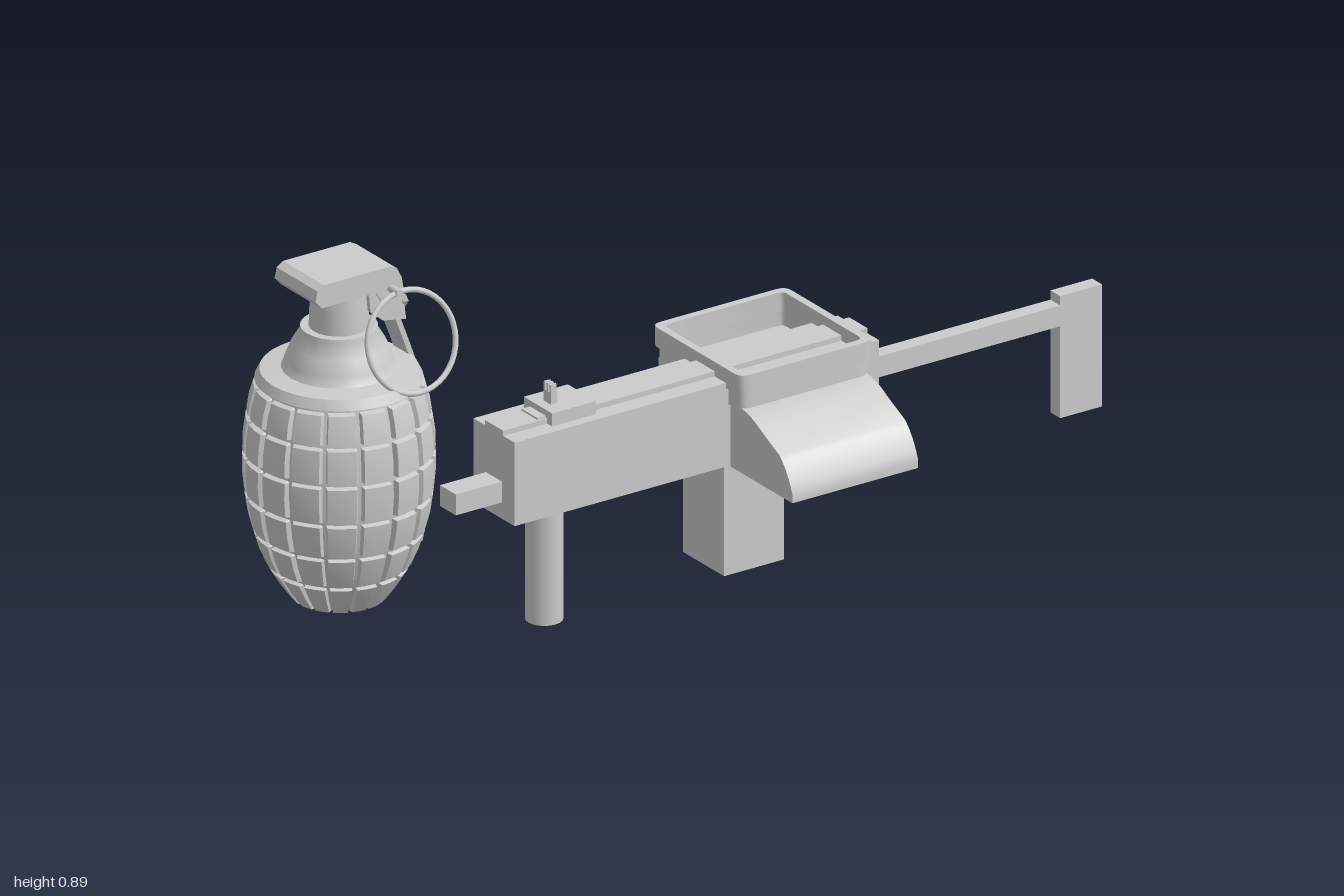
import * as THREE from 'three';
import { toCreasedNormals } from 'three/addons/utils/BufferGeometryUtils.js';

const CZ = -0.047; // shared centre line in z
const smooth = new THREE.MeshStandardMaterial({ color: 0xcccccc });
const flat = new THREE.MeshStandardMaterial({ color: 0xcccccc, flatShading: true });

function add(group, name, geometry, material = flat) {
  const mesh = new THREE.Mesh(geometry, material);
  mesh.name = name;
  group.add(mesh);
  return mesh;
}

// box given by its limits in x and y, and its centre and width in z
function box(group, name, x0, x1, y0, y1, width, z = CZ) {
  const mesh = add(group, name, new THREE.BoxGeometry(x1 - x0, y1 - y0, width));
  mesh.position.set((x0 + x1) / 2, (y0 + y1) / 2, z);
  return mesh;
}

const polygon = pts => new THREE.Shape(pts.map(p => new THREE.Vector2(...p)));

// rounded rectangle outline, drawn on a Shape or Path
function roundRect(path, x0, y0, x1, y1, r) {
  path.moveTo(x0 + r, y0).lineTo(x1 - r, y0).quadraticCurveTo(x1, y0, x1, y0 + r);
  path.lineTo(x1, y1 - r).quadraticCurveTo(x1, y1, x1 - r, y1);
  path.lineTo(x0 + r, y1).quadraticCurveTo(x0, y1, x0, y1 - r);
  path.lineTo(x0, y0 + r).quadraticCurveTo(x0, y0, x0 + r, y0);
  return path;
}

// barrel-shaped shell cut into pads by sunken grooves
function segmentedShell() {
  const profile = [[0.178, 0.095], [0.25, 0.143], [0.325, 0.171], [0.405, 0.187],
    [0.49, 0.191], [0.57, 0.184], [0.64, 0.168]];
  const gap = 0.006, depth = 0.011, columns = 16;
  const points = [new THREE.Vector2(0, 0.178)], sunk = [true];
  const ring = (r, y, low) => { points.push(new THREE.Vector2(r, y)); sunk.push(low); };
  for (let i = 0; i < profile.length - 1; i++) {
    const [y0, r0] = profile[i], [y1, r1] = profile[i + 1];
    const at = y => r0 + (r1 - r0) * (y - y0) / (y1 - y0);
    const a = i ? y0 + gap : y0, b = y1 - gap;
    if (i) ring(at(y0 + gap / 2) - depth, y0 + gap / 2, true);
    ring(at(a), a, false);
    ring(at((a + b) / 2) + 0.002, (a + b) / 2, false);
    ring(at(b), b, false);
    ring(at(y1 - gap / 2) - depth, y1 - gap / 2, true);
  }
  ring(0.157, 0.643, true);
  ring(0.167, 0.645, false);
  ring(0.157, 0.665, true);
  ring(0.1, 0.672, true);
  const geo = new THREE.LatheGeometry(points, columns * 5);
  const steps = [0, 0.1, 0.16, 0.55, 0.94]; // groove, groove, pad, pad, pad
  const pos = geo.attributes.position;
  for (let k = 0; k < pos.count; k++) {
    const seg = Math.floor(k / points.length), row = k % points.length;
    const angle = (Math.floor(seg / 5) + steps[seg % 5]) / columns * Math.PI * 2;
    let r = points[row].x;
    if (!sunk[row] && seg % 5 < 2 && points[row].y < 0.644) r -= depth;
    pos.setXYZ(k, r * Math.sin(angle), points[row].y, r * Math.cos(angle));
  }
  return toCreasedNormals(geo, 0.45);
}

// bent strip through points [x, y, width]
function strip(path, thickness) {
  const n = path.length - 1;
  const geo = new THREE.BoxGeometry(1, 1, 1, 1, n, 1);
  const pos = geo.attributes.position;
  for (let k = 0; k < pos.count; k++) {
    const i = Math.round((0.5 - pos.getY(k)) * n);
    const [x, y, width] = path[i];
    pos.setXYZ(k, x + pos.getX(k) * thickness, y, pos.getZ(k) * width);
  }
  return geo;
}

function createGrenade() {
  const g = new THREE.Group();
  g.name = 'grenade';
  g.position.set(-0.81, 0, CZ);
  add(g, 'segmentedShell', segmentedShell(), smooth);

  // shoulder and neck
  const neck = [[0.125, 0.66], [0.113, 0.672], [0.107, 0.69], [0.095, 0.72], [0.077, 0.75],
    [0.077, 0.758], [0.06, 0.758], [0.057, 0.845], [0, 0.845]];
  add(g, 'neck', toCreasedNormals(new THREE.LatheGeometry(
    neck.map(p => new THREE.Vector2(...p)), 24), 0.6), smooth);

  // cap of the lever with rounded ends
  const cap = new THREE.ExtrudeGeometry(polygon([[-0.105, 0.858], [-0.09, 0.841], [0.04, 0.841],
    [0.06, 0.81], [0.11, 0.81], [0.101, 0.86], [0.09, 0.882], [0.075, 0.89],
    [-0.085, 0.89], [-0.1, 0.88]]), { depth: 0.142, bevelEnabled: false });
  add(g, 'leverCap', cap.translate(0, 0, -0.071));

  // side cheeks holding the pin
  for (const side of [-1, 1]) {
    const cheek = new THREE.ExtrudeGeometry(polygon([[0.025, 0.85], [0.03, 0.8], [0.06, 0.775],
      [0.115, 0.765], [0.108, 0.82], [0.1, 0.85]]), { depth: 0.01, bevelEnabled: false });
    add(g, 'leverCheek', cheek.translate(0, 0, side * 0.061 - 0.005));
  }

  // long curved lever
  add(g, 'lever', strip([[0.105, 0.82, 0.142], [0.112, 0.805, 0.142], [0.12, 0.755, 0.055],
    [0.145, 0.69, 0.053], [0.17, 0.62, 0.053], [0.19, 0.54, 0.053], [0.2, 0.46, 0.053],
    [0.2, 0.38, 0.053], [0.192, 0.32, 0.053], [0.175, 0.255, 0.053]], 0.012));

  // pin and pull ring
  const pin = add(g, 'pin', new THREE.CylinderGeometry(0.008, 0.008, 0.18, 10), smooth);
  pin.rotation.x = Math.PI / 2;
  pin.position.set(0.075, 0.843, 0.012);
  const ring = add(g, 'pullRing', new THREE.TorusGeometry(0.103, 0.006, 8, 40), smooth);
  ring.rotation.x = -0.31;
  ring.position.set(0.088, 0.744, 0.124);
  return g;
}

function createGun() {
  const g = new THREE.Group();
  g.name = 'gun';
  box(g, 'receiver', -0.44, 0.43, 0.255, 0.435, 0.143);
  box(g, 'topRail', -0.44, 0.43, 0.435, 0.446, 0.064);
  box(g, 'muzzle', -0.55, -0.44, 0.29, 0.335, 0.055);
  box(g, 'magazine', 0.06, 0.203, 0.02, 0.256, 0.143);
  box(g, 'stockRod', 0.43, 0.9, 0.325, 0.37, 0.034);
  box(g, 'buttPlate', 0.9, 1, 0.127, 0.39, 0.034);

  // foregrip
  const grip = add(g, 'foregrip', new THREE.CylinderGeometry(0.038, 0.038, 0.256, 20), smooth);
  grip.position.set(-0.32, 0.128, CZ);

  // sight: base, foot and a notched post
  box(g, 'sightBase', -0.335, -0.23, 0.435, 0.463, 0.098);
  box(g, 'sightFoot', -0.355, -0.335, 0.435, 0.45, 0.055);
  box(g, 'sightPost', -0.313, -0.299, 0.463, 0.488, 0.026);
  for (const dz of [-0.01, 0, 0.01]) box(g, 'sightTooth', -0.313, -0.299, 0.488, 0.505, 0.005, CZ + dz);

  // side housing with a curved chute, drawn in z and y
  const chute = new THREE.Shape();
  chute.moveTo(-0.225, 0.253).lineTo(0.24, 0.253).lineTo(0.24, 0.272);
  chute.quadraticCurveTo(0.222, 0.318, 0.195, 0.34).lineTo(0.13, 0.37);
  chute.quadraticCurveTo(0.1, 0.388, 0.065, 0.392).lineTo(-0.225, 0.395);
  const housing = new THREE.ExtrudeGeometry(chute, { depth: 0.3, bevelEnabled: false, curveSegments: 6 });
  housing.rotateY(-Math.PI / 2).translate(0.375, 0, 0);
  add(g, 'chuteHousing', toCreasedNormals(housing, 0.5), smooth);

  // open tray on top, in two stacked rims
  for (const [name, inset, y0, y1] of [['trayWall', 0.006, 0.388, 0.426], ['trayRim', 0, 0.424, 0.466]]) {
    const rim = roundRect(new THREE.Shape(), 0.065 + inset, -0.075 + inset, 0.385 - inset, 0.235 - inset, 0.022);
    rim.holes.push(roundRect(new THREE.Path(), 0.082, -0.058, 0.368, 0.218, 0.015));
    const geo = new THREE.ExtrudeGeometry(rim, { depth: y1 - y0, bevelEnabled: false, curveSegments: 4 });
    geo.rotateX(-Math.PI / 2).translate(0, y0, 0);
    add(g, name, toCreasedNormals(geo, 0.6), smooth);
  }
  return g;
}

export function createModel() {
  const model = new THREE.Group();
  model.name = 'model';
  model.add(createGrenade(), createGun());
  return model;
}
